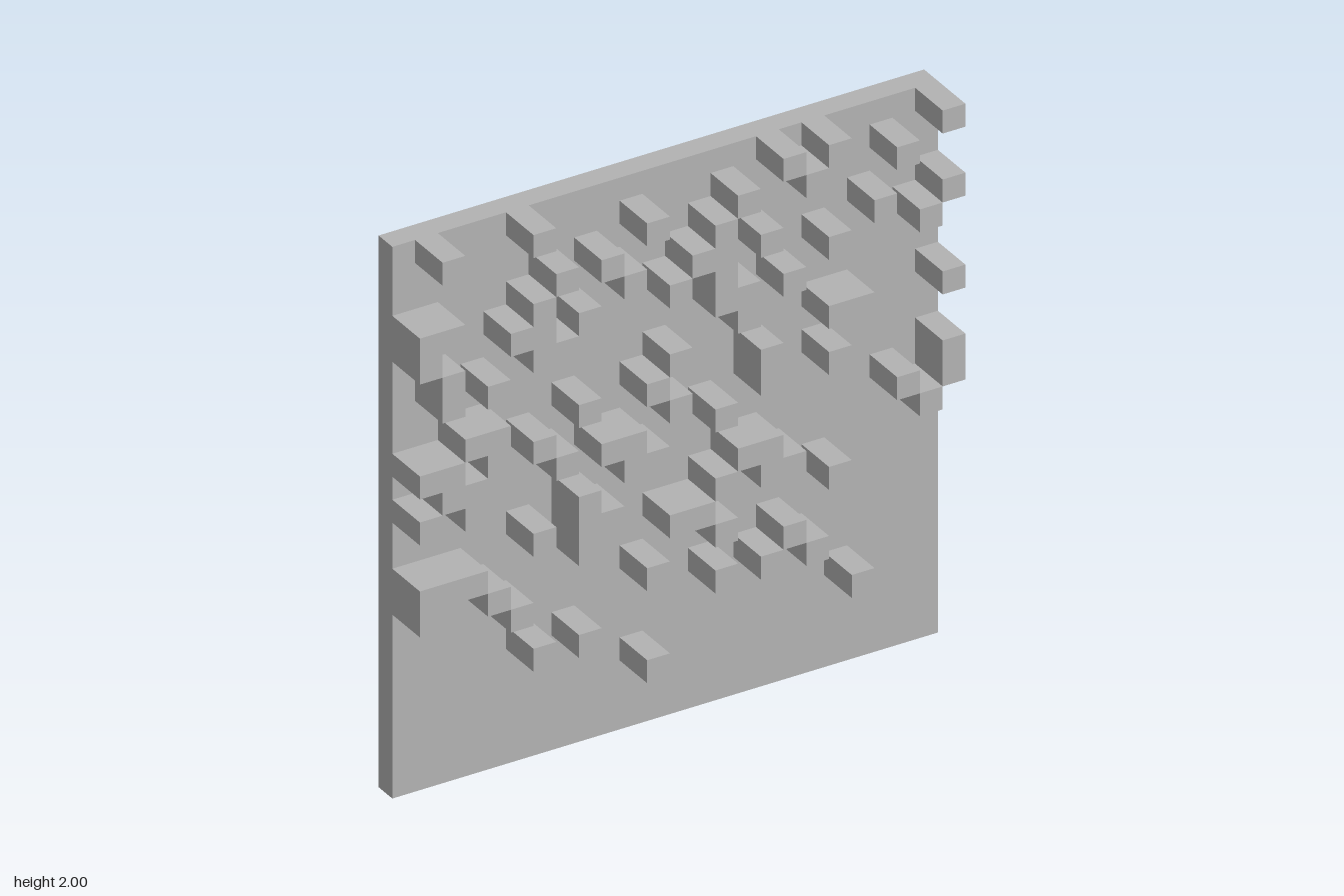
import * as THREE from 'three';

// Columns of the raised blocks in each row, from the top row down (24 x 24 cells)
const ROWS = [
  [1, 5, 16, 18, 23],
  [10, 14, 17, 21],
  [6, 8, 13],
  [0, 1, 5, 9, 12, 13, 15, 20, 23],
  [0, 4, 5, 7, 11, 13, 18, 22],
  [1, 5, 6, 13, 14, 16],
  [1, 3, 14],
  [11, 18, 19, 23],
  [2, 3, 7, 10, 15],
  [0, 1, 3, 5, 11, 15, 18],
  [1, 2, 6, 8, 9, 13, 23],
  [0, 2, 9, 10, 21, 23],
  [7, 14, 15, 22],
  [5, 7, 8, 13, 15, 16],
  [0, 1, 2, 7, 11, 12, 18],
  [0, 3, 13],
  [4, 10, 16],
  [13, 15, 17],
  [5, 7],
  [19],
  [10],
];

const CELL = 2 / 24;
const PLATE = CELL;       // plate thickness
const RAISE = 2 * CELL;   // how far the blocks stand out
const BACK = -(PLATE + RAISE) / 2;

export function createModel() {
  const model = new THREE.Group();
  model.name = 'studdedPanel';

  const grey = new THREE.MeshStandardMaterial({ color: 0xb2b2b2 });
  grey.name = 'grey';

  // Flat upright back plate
  const plate = new THREE.Mesh(new THREE.BoxGeometry(2, 2, PLATE), grey);
  plate.name = 'backPlate';
  plate.position.set(0, 1, BACK + PLATE / 2);
  model.add(plate);

  // Raised blocks: neighbours in a row join into one bar
  const blocks = new THREE.Group();
  blocks.name = 'raisedBlocks';
  ROWS.forEach((cols, row) => {
    for (let i = 0; i < cols.length;) {
      let n = 1;
      while (cols[i + n] === cols[i] + n) n++;
      const block = new THREE.Mesh(new THREE.BoxGeometry(n * CELL, CELL, RAISE), grey);
      block.name = 'block';
      block.position.set(
        -1 + (cols[i] + n / 2) * CELL,
        2 - (row + 0.5) * CELL,
        BACK + PLATE + RAISE / 2
      );
      blocks.add(block);
      i += n;
    }
  });
  model.add(blocks);

  return model;
}
